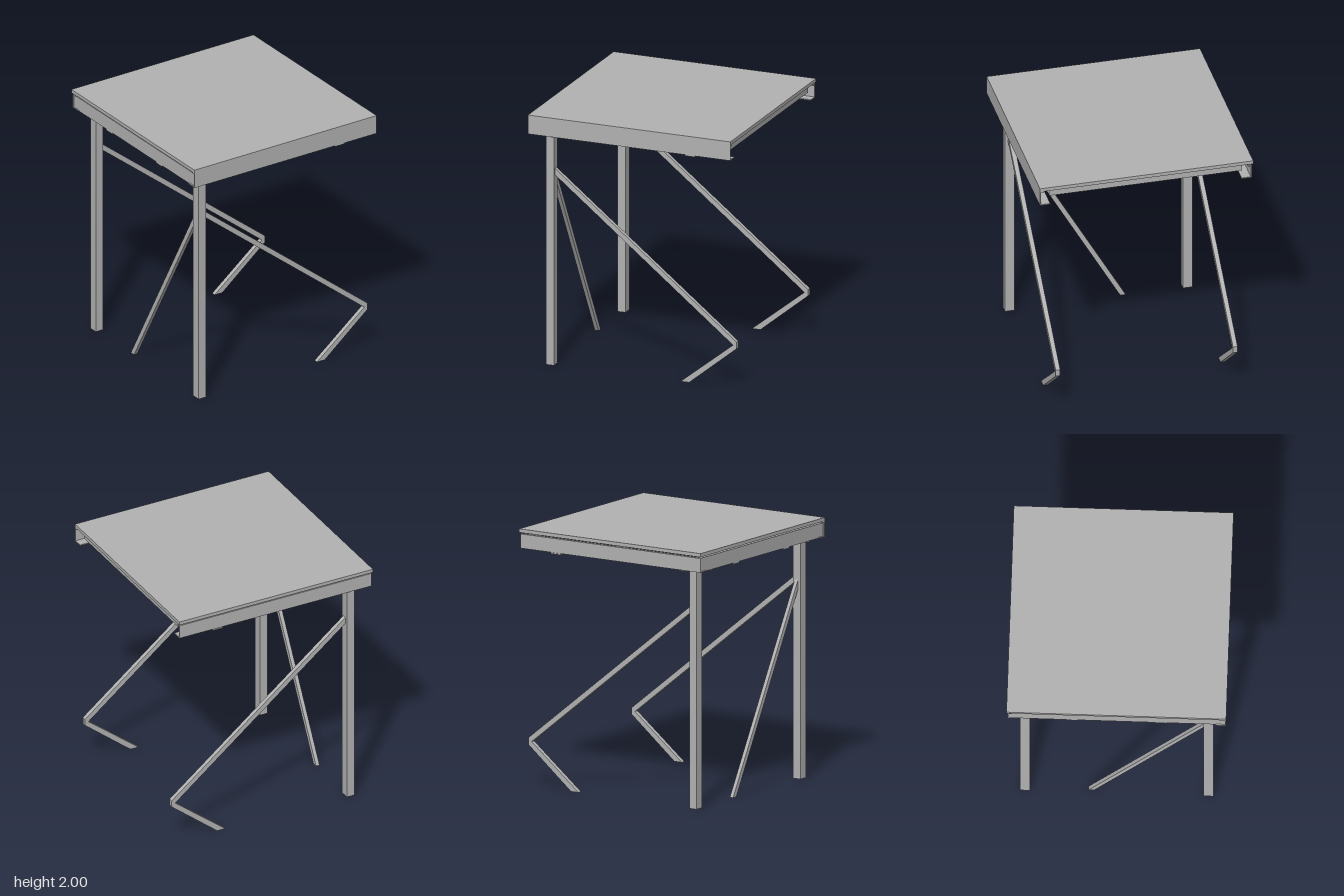
import * as THREE from 'three';

export function createModel() {
  const model = new THREE.Group();
  const steel = new THREE.MeshStandardMaterial({ color: 0xb2b2b2 });
  steel.name = 'grey steel';

  const add = (name, geometry) => {
    const mesh = new THREE.Mesh(geometry, steel);
    mesh.name = name;
    model.add(mesh);
    return mesh;
  };
  // Box given by its lower and upper corners
  const box = (name, x0, x1, y0, y1, z0, z1) => {
    const mesh = add(name, new THREE.BoxGeometry(x1 - x0, y1 - y0, z1 - z0));
    mesh.position.set((x0 + x1) / 2, (y0 + y1) / 2, (z0 + z1) / 2);
    return mesh;
  };
  const outline = (points) => new THREE.Shape(points.map(([x, y]) => new THREE.Vector2(x, y)));
  // Flat outline extruded and centred along z
  const slice = (points, depth) => {
    const g = new THREE.ExtrudeGeometry(outline(points), { depth, bevelEnabled: false });
    return g.translate(0, 0, -depth / 2);
  };
  // Rectangle outline
  const rect = (x0, x1, y0, y1) => [[x0, y0], [x1, y0], [x1, y1], [x0, y1]];

  // Roof sheet
  box('roofPanel', -0.83, 0.83, 1.972, 2, -0.83, 0.83);

  // Edge rail section: wall outside, wide lip below, short lip above
  const railSection = (out, top) => {
    const t = 0.008, inner = out - 0.08;
    return [[inner, 1.85], [out, 1.85], [out, top], [out - 0.03, top], [out - 0.03, top - t],
      [out - t, top - t], [out - t, 1.85 + t], [inner, 1.85 + t]];
  };
  add('frontRail', slice(railSection(0.83, 1.972), 1.66)).rotation.y = -Math.PI / 2;
  add('backRail', slice(railSection(0.82, 1.96), 1.65)).rotation.y = Math.PI / 2;
  add('sideRail', slice(railSection(0.82, 1.96), 1.64)).rotation.y = Math.PI;

  // Cross beams: angle section beneath the roof sheet
  const beamSection = [[0, 1.908], [0.008, 1.908], [0.008, 1.972], [-0.03, 1.972], [-0.03, 1.964], [0, 1.964]];
  for (const x of [0, 0.79]) add('crossBeam', slice(beamSection, 1.5)).position.x = x;

  // Hollow legs with top plates and diagonal corner straps
  const legShape = outline(rect(-0.0325, 0.0325, -0.0375, 0.0375));
  legShape.holes.push(new THREE.Path(rect(-0.027, 0.027, -0.032, 0.032).map(([x, y]) => new THREE.Vector2(x, y))));
  for (const s of [1, -1]) {
    const leg = add('leg', new THREE.ExtrudeGeometry(legShape, { depth: 1.855, bevelEnabled: false }));
    leg.rotation.x = -Math.PI / 2;
    leg.position.set(-0.6925, 0, s * 0.6925);

    box('legTopPlate', -0.81, -0.64, 1.858, 1.866, s * 0.725 - 0.085, s * 0.725 + 0.085);
    const strap = add('cornerStrap', new THREE.BoxGeometry(0.24, 0.01, 0.035));
    strap.position.set(-0.715, 1.843, s * 0.715);
    strap.rotation.y = -s * Math.PI / 4;

    // Long brace from the leg, folding back down to the ground
    const brace = slice([[-0.66, 1.51], [0.8, 0.343], [0.37, 0], [0.44, 0],
      [0.83, 0.318], [0.83, 0.37], [-0.66, 1.56]], 0.035);
    add('foldedBrace', brace).position.z = s * 0.69;

    // Small plates under the rails
    box('railPlate', 0.455, 0.54, 1.84, 1.85, s * 0.785 - 0.04, s * 0.785 + 0.04);
    box('railPlate', -0.82, -0.74, 1.84, 1.85, s * 0.335 - 0.04, s * 0.335 + 0.04);
  }

  // Single brace from the front leg towards the back
  const sideBrace = slice([[0.655, 1.46], [0.655, 1.535], [-0.213, 0], [-0.17, 0]], 0.03);
  const side = add('sideBrace', sideBrace);
  side.rotation.y = -Math.PI / 2;
  side.position.x = -0.69;

  return model;
}
